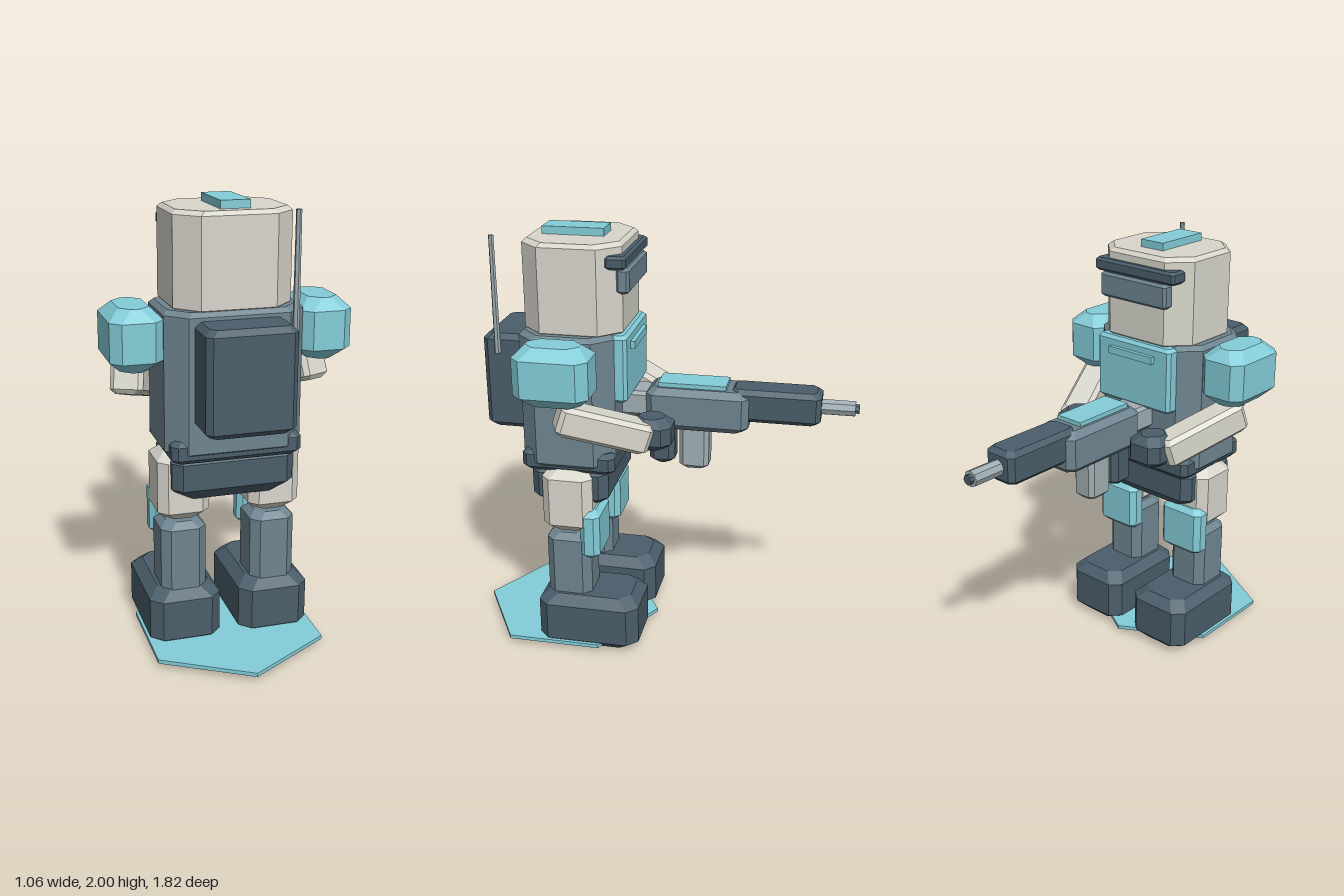
import * as THREE from 'three';
import { ConvexGeometry } from 'three/addons/geometries/ConvexGeometry.js';

const paint = (name, color) => {
  const m = new THREE.MeshStandardMaterial({ color, flatShading: true });
  m.name = name;
  return m;
};

// Box with cut vertical corners (c) and bevelled top and bottom rims (b)
function cutBox(w, h, d, c, b) {
  const pts = [];
  for (const [y, inset] of [[-h / 2, b], [-h / 2 + b, 0], [h / 2 - b, 0], [h / 2, b]]) {
    const x = w / 2 - inset, z = d / 2 - inset;
    for (const sx of [-1, 1]) for (const sz of [-1, 1]) {
      pts.push(new THREE.Vector3(sx * x, y, sz * (z - c)));
      pts.push(new THREE.Vector3(sx * (x - c), y, sz * z));
    }
  }
  return new ConvexGeometry(pts);
}

export function createModel() {
  const ivory = paint('ivory', 0xd8d6cc);
  const cyan = paint('cyan', 0x84cdd9);
  const dark = paint('dark slate', 0x4a5e6a);
  const slate = paint('slate', 0x6f8590);
  const steel = paint('steel', 0xa0aeb3);

  const model = new THREE.Group();
  model.name = 'robotTrooper';

  const add = (parent, name, geometry, material) => {
    const mesh = new THREE.Mesh(geometry, material);
    mesh.name = name;
    parent.add(mesh);
    return mesh;
  };
  // Bevelled block given by its extents on each axis
  const block = (parent, name, material, [x0, x1], [y0, y1], [z0, z1], c = 0.03, b = c) => {
    const mesh = add(parent, name, cutBox(x1 - x0, y1 - y0, z1 - z0, c, b), material);
    mesh.position.set((x0 + x1) / 2, (y0 + y1) / 2, (z0 + z1) / 2);
    return mesh;
  };
  // Plain block given by its extents
  const slab = (parent, name, material, [x0, x1], [y0, y1], [z0, z1]) => {
    const mesh = add(parent, name, new THREE.BoxGeometry(x1 - x0, y1 - y0, z1 - z0), material);
    mesh.position.set((x0 + x1) / 2, (y0 + y1) / 2, (z0 + z1) / 2);
    return mesh;
  };

  // Hexagonal base plate
  add(model, 'basePlate', new THREE.CylinderGeometry(0.44, 0.44, 0.018, 6), cyan)
    .position.set(0, 0.036, 0.47);

  // Legs and arms, mirrored
  for (const s of [1, -1]) {
    const side = s > 0 ? 'left' : 'right';
    const leg = new THREE.Group();
    leg.name = side + 'Leg';
    model.add(leg);
    const span = (a, b) => (s > 0 ? [a, b] : [-b, -a]);
    block(leg, 'foot', dark, span(0.045, 0.37), [0.005, 0.28], [0.06, 0.55], 0.05, 0.045);
    block(leg, 'shin', slate, span(0.105, 0.31), [0.24, 0.59], [0.295, 0.51], 0.038, 0.03);
    block(leg, 'thigh', ivory, span(0.09, 0.325), [0.605, 0.92], [0.28, 0.52], 0.04);
    block(leg, 'kneePad', cyan, span(0.09, 0.325), [0.475, 0.72], [0.245, 0.34], 0.025);

    const arm = new THREE.Group();
    arm.name = side + 'Arm';
    model.add(arm);
    block(arm, 'shoulderPad', cyan, span(0.3, 0.53), [1.3, 1.57], [0.23, 0.57], 0.045, 0.05);
    block(arm, 'hand', dark, span(0.14, 0.32), [1.05, 1.2], [-0.09, 0.1], 0.04, 0.035);
    const start = new THREE.Vector3(s * 0.435, 1.245, 0.39);
    const end = new THREE.Vector3(s * 0.275, 1.11, 0.015);
    const forearm = add(arm, 'forearm', cutBox(0.145, 0.14, start.distanceTo(end), 0.02, 0.02), ivory);
    forearm.position.copy(start).lerp(end, 0.5);
    forearm.lookAt(end);
  }

  // Body
  block(model, 'pelvis', dark, [-0.275, 0.275], [0.71, 0.95], [0.215, 0.58], 0.04, 0.06);
  block(model, 'belt', dark, [-0.29, 0.29], [0.905, 1.005], [0.175, 0.615], 0.025, 0.02);
  block(model, 'torso', slate, [-0.305, 0.305], [0.93, 1.56], [0.18, 0.62], 0.085, 0.02);
  block(model, 'chestPlate', cyan, [-0.22, 0.22], [1.24, 1.555], [0.125, 0.2], 0.015);
  slab(model, 'chestBar', cyan, [-0.13, 0.13], [1.475, 1.51], [0.105, 0.13]);
  block(model, 'backpack', dark, [-0.195, 0.195], [1.07, 1.525], [0.58, 0.805], 0.025);
  add(model, 'antenna', new THREE.CylinderGeometry(0.012, 0.015, 0.54, 6), steel)
    .position.set(0.2, 1.71, 0.73);

  // Head
  block(model, 'head', ivory, [-0.258, 0.258], [1.545, 1.965], [0.15, 0.605], 0.095, 0.018);
  slab(model, 'headStripe', cyan, [-0.065, 0.065], [1.96, 2], [0.255, 0.54]);
  block(model, 'visorBrow', dark, [-0.235, 0.235], [1.855, 1.915], [0.122, 0.217], 0.012);
  block(model, 'visor', slate, [-0.195, 0.195], [1.74, 1.855], [0.115, 0.175], 0.012);

  // Rifle, pointing forward from the chest
  const rifle = new THREE.Group();
  rifle.name = 'rifle';
  model.add(rifle);
  block(rifle, 'receiver', slate, [-0.113, 0.113], [1.08, 1.28], [-0.412, 0.065], 0.03);
  block(rifle, 'handguard', dark, [-0.083, 0.083], [1.135, 1.29], [-0.738, -0.32], 0.022);
  block(rifle, 'stock', steel, [-0.08, 0.08], [1.13, 1.25], [0.04, 0.2], 0.015);
  slab(rifle, 'topStrip', cyan, [-0.07, 0.07], [1.275, 1.3], [-0.305, 0.012]);
  block(rifle, 'grip', dark, [-0.06, 0.06], [0.885, 1.1], [-0.062, 0.06], 0.025);
  block(rifle, 'magazine', steel, [-0.06, 0.06], [0.87, 1.1], [-0.225, -0.085], 0.02);
  const rod = (name, r, z0, z1, material) => {
    const mesh = add(rifle, name, new THREE.CylinderGeometry(r, r, z1 - z0, 8), material);
    mesh.rotation.x = Math.PI / 2;
    mesh.position.set(0, 1.212, (z0 + z1) / 2);
  };
  rod('barrel', 0.037, -0.89, -0.72, steel);
  rod('muzzle', 0.023, -0.908, -0.88, dark);

  return model;
}
